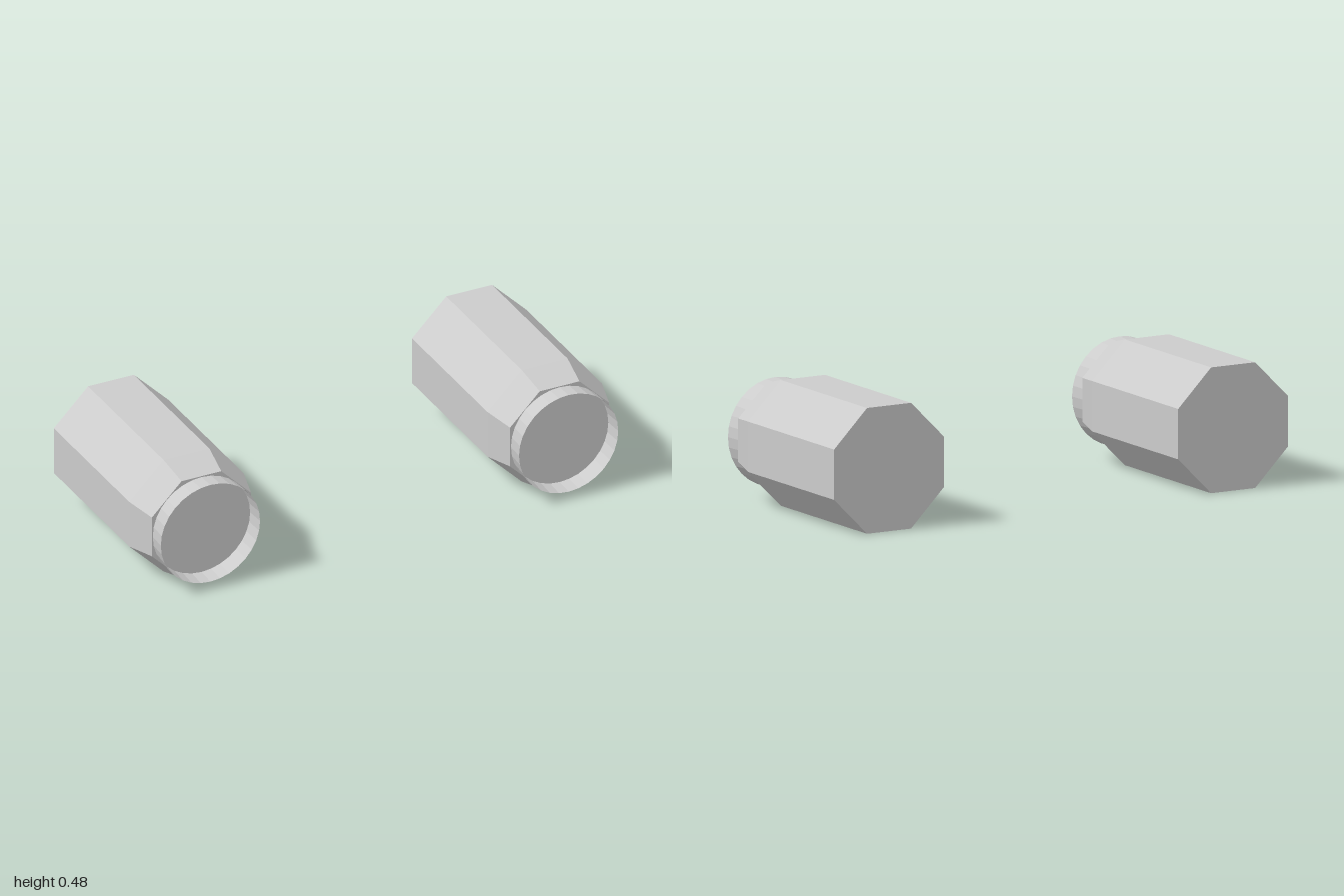
import * as THREE from 'three';

const APOTHEM = 0.242, HALF_SIDE = 0.097;
const BACK = -0.415, SHOULDER = 0.215, NECK = 0.34, RIM = 0.415;

// Octagonal prism whose front section tapers in to the neck
function bodyGeometry() {
  const a = APOTHEM, c = HALF_SIDE;
  const shape = new THREE.Shape(
    [[a, -c], [a, c], [c, a], [-c, a], [-a, c], [-a, -c], [-c, -a], [c, -a]]
      .map(([x, y]) => new THREE.Vector2(x, y)));
  const geo = new THREE.ExtrudeGeometry(shape, { depth: 2, steps: 2, bevelEnabled: false });
  const rings = [[BACK, 1], [SHOULDER, 1], [NECK, 0.867]]; // z position and scale of each section
  const p = geo.attributes.position;
  for (let i = 0; i < p.count; i++) {
    const [z, s] = rings[Math.round(p.getZ(i))];
    p.setXYZ(i, p.getX(i) * s, p.getY(i) * s, z);
  }
  geo.computeVertexNormals();
  return geo;
}

// Thin open collar, flaring slightly toward the rim
function collarGeometry() {
  const geo = new THREE.CylinderGeometry(0.21, 0.206, RIM - NECK, 32, 1, true);
  geo.rotateX(Math.PI / 2);
  geo.translate(0, 0, (RIM + NECK) / 2);
  return geo;
}

export function createModel() {
  const model = new THREE.Group();
  const grey = new THREE.MeshStandardMaterial({ color: 0xcccccc, flatShading: true });
  const thin = new THREE.MeshStandardMaterial({ color: 0xcccccc, flatShading: true, side: THREE.DoubleSide });
  const bodyGeo = bodyGeometry(), collarGeo = collarGeometry();

  // Matching pair of pods, one on each side
  for (const [side, sign] of [['left', 1], ['right', -1]]) {
    const pod = new THREE.Group();
    pod.name = side + 'Pod';
    const body = new THREE.Mesh(bodyGeo, grey);
    body.name = side + 'Body';
    const collar = new THREE.Mesh(collarGeo, thin);
    collar.name = side + 'Collar';
    pod.add(body, collar);
    pod.position.set(sign * (1 - APOTHEM), APOTHEM, 0);
    model.add(pod);
  }
  return model;
}
